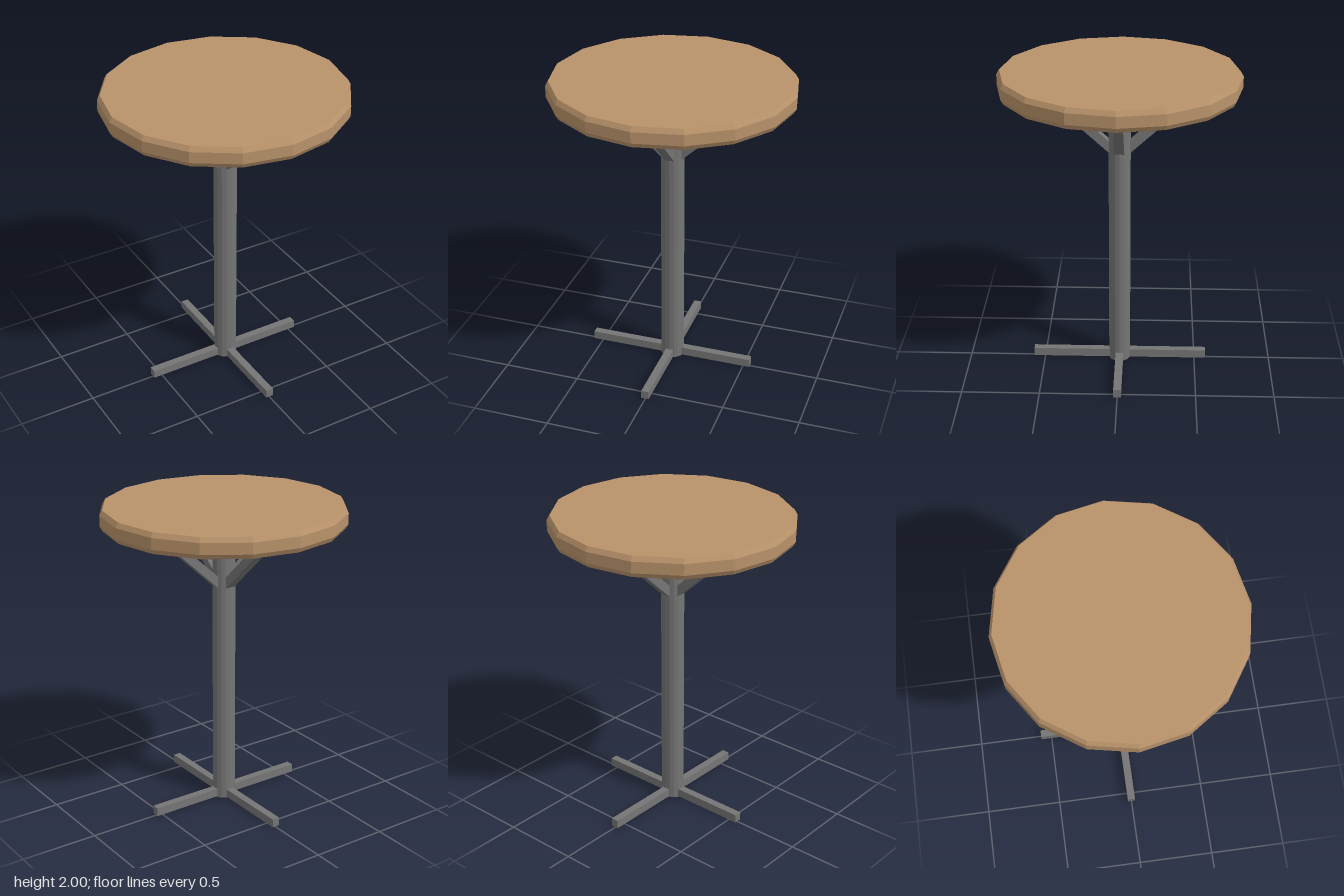
import * as THREE from 'three';

const SIDES = 16;

export function createModel() {
  const model = new THREE.Group();
  const wood = new THREE.MeshStandardMaterial({ color: 0xb8926a, flatShading: true });
  const metal = new THREE.MeshStandardMaterial({ color: 0x757575, flatShading: true });

  const add = (name, geometry, material) => {
    const mesh = new THREE.Mesh(geometry, material);
    mesh.name = name;
    model.add(mesh);
    return mesh;
  };

  // Round top with chamfered rims, slightly wider in x than in z
  const profile = [[0, 1.87], [0.757, 1.87], [0.775, 1.9], [0.775, 1.97], [0.757, 2], [0, 2]]
    .map(([r, y]) => new THREE.Vector2(r, y));
  add('tabletop', new THREE.LatheGeometry(profile, SIDES), wood).scale.z = 0.98;

  // Central post
  const post = add('post', new THREE.CylinderGeometry(0.076, 0.076, 1.88, SIDES), metal);
  post.position.y = 0.94;
  post.scale.z = 0.92;

  // Crossed floor bars
  const barX = add('footBarX', new THREE.BoxGeometry(1.105, 0.055, 0.05), metal);
  barX.position.set(-0.008, 0.033, 0);
  const barZ = add('footBarZ', new THREE.BoxGeometry(0.05, 0.055, 1.146), metal);
  barZ.position.y = 0.033;

  // Four slanted braces, cut upright at the post and level under the top
  const outline = new THREE.Shape([[0.065, 1.47], [0.505, 1.872], [0.425, 1.872], [0.065, 1.545]]
    .map(([x, y]) => new THREE.Vector2(x, y)));
  const braceGeometry = new THREE.ExtrudeGeometry(outline, { depth: 0.062, bevelEnabled: false });
  braceGeometry.translate(0, 0, -0.031);
  ['Left', 'Back', 'Right', 'Front'].forEach((side, i) => {
    add('brace' + side, braceGeometry, metal).rotation.y = i * Math.PI / 2;
  });

  return model;
}
